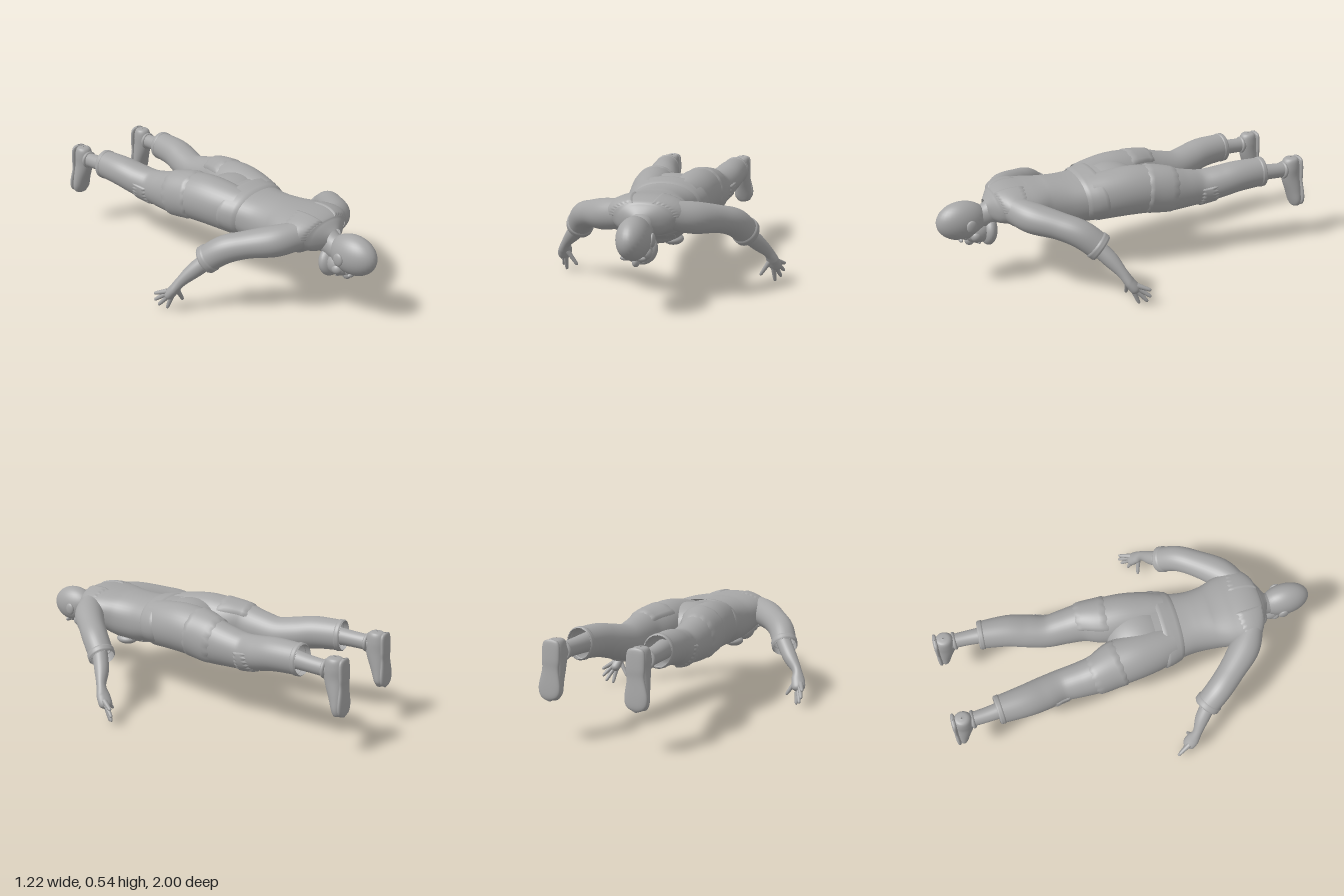
import * as THREE from 'three';

const grey = new THREE.MeshStandardMaterial({ color: 0xa6a6a6, side: THREE.DoubleSide });
grey.name = 'clay grey';

// Smooth skin over sections [x, y, z, radiusAcross, radiusUp]; options select a raised patch of it
function loft(sections, o = {}) {
  const { from = 0, to = sections.length - 1, a0 = 0, a1 = Math.PI * 2, raise = 0, jag = 0,
    square = 1, up = [0, 1, 0], around = 32, steps = 5 } = o;
  const last = sections.length - 1;
  const path = new THREE.CatmullRomCurve3(sections.map(s => new THREE.Vector3(s[0], s[1], s[2])), false, 'catmullrom');
  const size = new THREE.CatmullRomCurve3(sections.map(s => new THREE.Vector3(s[3], s[4], 0)), false, 'catmullrom');
  const upV = new THREE.Vector3(...up);
  const closed = a1 - a0 > 6.28;
  const cols = closed ? around : around + 1;
  const rows = Math.max(6, Math.ceil((to - from) * steps));
  const pos = [], idx = [];
  const bend = c => Math.sign(c) * Math.pow(Math.abs(c), square);
  for (let i = 0; i <= rows; i++) for (let j = 0; j < cols; j++) {
    const tooth = jag * (j % 4 < 2 ? 1 : 0);
    const k = THREE.MathUtils.lerp(from + tooth, to - tooth, i / rows) / last;
    const p = path.getPoint(k), t = path.getTangent(k), r = size.getPoint(k);
    const u = new THREE.Vector3().crossVectors(t, upV).normalize();
    const v = new THREE.Vector3().crossVectors(u, t);
    const rim = i === 0 || i === rows || (!closed && (j === 0 || j === cols - 1));
    const lift = raise ? (rim ? -0.002 : raise) : 0;
    const a = a0 + (a1 - a0) * j / around;
    p.addScaledVector(u, bend(Math.cos(a)) * (Math.max(r.x, 0.001) + lift));
    p.addScaledVector(v, bend(Math.sin(a)) * (Math.max(r.y, 0.001) + lift));
    pos.push(p.x, p.y, p.z);
  }
  for (let i = 0; i < rows; i++) for (let j = 0; j < around; j++) {
    const a = i * cols + j, b = i * cols + (j + 1) % cols;
    idx.push(a, a + cols, b, b, a + cols, b + cols);
  }
  const g = new THREE.BufferGeometry();
  g.setAttribute('position', new THREE.Float32BufferAttribute(pos, 3));
  g.setIndex(idx);
  g.computeVertexNormals();
  return g;
}

function add(parent, name, geometry) {
  const m = new THREE.Mesh(geometry, grey);
  m.name = name;
  parent.add(m);
  return m;
}

function blob(parent, name, [x, y, z], [rx, ry, rz], tilt = 0) {
  const m = add(parent, name, new THREE.SphereGeometry(1, 32, 20));
  m.position.set(x, y, z);
  m.scale.set(rx, ry, rz);
  m.rotation.x = tilt;
  return m;
}

const torso = [
  [0, 0.41, 0.745, 0.05, 0.045], [0, 0.415, 0.70, 0.13, 0.08], [0, 0.425, 0.64, 0.20, 0.098],
  [0, 0.41, 0.55, 0.20, 0.112], [0, 0.387, 0.45, 0.172, 0.13], [0, 0.383, 0.35, 0.163, 0.13],
  [0, 0.392, 0.25, 0.175, 0.122], [0, 0.405, 0.12, 0.20, 0.12],
];
const leg = [
  [0.09, 0.40, 0.2, 0.10, 0.122], [0.103, 0.412, 0.1, 0.115, 0.127], [0.115, 0.418, 0, 0.12, 0.13],
  [0.125, 0.412, -0.1, 0.118, 0.127], [0.148, 0.40, -0.2, 0.10, 0.121], [0.153, 0.39, -0.3, 0.09, 0.105],
  [0.155, 0.385, -0.4, 0.083, 0.093], [0.178, 0.404, -0.5, 0.086, 0.087],
  [0.198, 0.425, -0.6, 0.082, 0.083], [0.211, 0.433, -0.75, 0.07, 0.077],
];
const sleeve = [
  [0.12, 0.43, 0.64, 0.06, 0.07], [0.22, 0.41, 0.57, 0.078, 0.077], [0.315, 0.388, 0.47, 0.07, 0.068],
  [0.385, 0.355, 0.385, 0.068, 0.07], [0.437, 0.285, 0.30, 0.065, 0.067],
];
const shoe = [
  [0.22, 0.49, -0.925, 0.004, 0.004], [0.22, 0.482, -0.925, 0.036, 0.038], [0.22, 0.44, -0.925, 0.045, 0.053],
  [0.22, 0.38, -0.93, 0.045, 0.053], [0.224, 0.30, -0.949, 0.05, 0.042], [0.226, 0.24, -0.96, 0.052, 0.031],
  [0.224, 0.212, -0.965, 0.034, 0.022], [0.224, 0.205, -0.967, 0.003, 0.003],
];
const sole = [
  [0.22, 0.492, -0.968, 0.004, 0.004], [0.22, 0.475, -0.97, 0.042, 0.012], [0.22, 0.40, -0.976, 0.047, 0.013],
  [0.222, 0.35, -0.978, 0.044, 0.012], [0.226, 0.27, -0.983, 0.058, 0.014], [0.226, 0.225, -0.985, 0.046, 0.013],
  [0.225, 0.203, -0.985, 0.004, 0.004],
];

// Limbs, patches and face details of the left side
function buildSide(side) {
  add(side, 'trouserLeg', loft(leg, { around: 40 }));
  add(side, 'thighPatch', loft(leg, { from: 2.7, to: 4.4, a0: -1, a1: 2.5, raise: 0.007, jag: 0.06 }));
  add(side, 'kneePatch', loft(leg, { from: 5.7, to: 6.8, a0: -1.7, a1: 0.2, raise: 0.007, jag: 0.12 }));
  add(side, 'trouserHem', loft(leg, { from: 8.8, to: 9, raise: 0.004 }));
  add(side, 'ankle', loft([[0.205, 0.43, -0.68, 0.045, 0.048], [0.216, 0.424, -0.80, 0.039, 0.041],
    [0.22, 0.42, -0.92, 0.036, 0.04]]));
  const collar = add(side, 'shoeCollar', new THREE.TorusGeometry(0.038, 0.01, 10, 28));
  collar.position.set(0.22, 0.422, -0.877);
  add(side, 'shoe', loft(shoe, { up: [0, 0, 1] }));
  add(side, 'sole', loft(sole, { up: [0, 0, 1], square: 0.8 }));

  add(side, 'sleeve', loft(sleeve, { steps: 8 }));
  add(side, 'sleeveCuff', loft(sleeve, { from: 3.65, to: 4, raise: 0.005 }));
  add(side, 'forearm', loft([[0.40, 0.325, 0.35, 0.04, 0.042], [0.475, 0.24, 0.275, 0.038, 0.04],
    [0.532, 0.178, 0.232, 0.025, 0.027], [0.55, 0.135, 0.205, 0.035, 0.026],
    [0.563, 0.095, 0.178, 0.034, 0.026], [0.568, 0.078, 0.168, 0.01, 0.01]], { steps: 8 }));
  // Spread fingers, thumb first: base and tip
  const fingers = [
    [[0.54, 0.13, 0.212], [0.487, 0.045, 0.195]], [[0.553, 0.095, 0.19], [0.56, 0.008, 0.155]],
    [[0.563, 0.095, 0.18], [0.588, 0.025, 0.122]], [[0.572, 0.105, 0.173], [0.602, 0.055, 0.11]],
    [[0.574, 0.12, 0.178], [0.606, 0.095, 0.113]],
  ];
  fingers.forEach(([b, t], i) => {
    const at = (k, r) => [...b.map((c, n) => c + (t[n] - c) * k), r, r];
    add(side, i ? 'finger' : 'thumb', loft([at(0, 0.014), at(0.5, 0.011), at(0.9, 0.008), at(1, 0.001)], { around: 12 }));
  });

  add(side, 'shoulderPatch', loft(torso, { from: 1.1, to: 2.75, a0: 0.1, a1: 1.28, raise: 0.008, jag: 0.08 }));
  add(side, 'chestStrap', loft(torso, { from: 2, to: 5.8, a0: 5.15, a1: 5.4, raise: 0.006, around: 12 }));
  blob(side, 'chestPouch', [0.085, 0.268, 0.42], [0.05, 0.028, 0.06]);

  blob(side, 'ear', [0.08, 0.355, 0.84], [0.012, 0.033, 0.027]);
  blob(side, 'eye', [0.033, 0.285, 0.865], [0.014, 0.014, 0.014]);
  blob(side, 'brow', [0.034, 0.278, 0.89], [0.026, 0.012, 0.011]);
  blob(side, 'cheek', [0.04, 0.285, 0.81], [0.03, 0.03, 0.03]);
}

export function createModel() {
  const model = new THREE.Group();
  model.name = 'lyingFigure';

  // Body and waist
  add(model, 'shirt', loft(torso, { around: 48, square: 0.88, steps: 8 }));
  add(model, 'bib', loft(torso, { from: 3.2, to: 5.9, a0: 4.15, a1: 5.27, raise: 0.007, jag: 0.05 }));
  blob(model, 'hips', [0, 0.412, 0.06], [0.19, 0.122, 0.17]);
  add(model, 'waistband', loft([[0, 0.395, 0.255, 0.18, 0.124], [0, 0.40, 0.20, 0.20, 0.129],
    [0, 0.407, 0.15, 0.212, 0.13]], { raise: 0.004, square: 0.92, around: 48 }));
  const buckle = add(model, 'buckle', new THREE.BoxGeometry(0.07, 0.012, 0.06));
  buckle.position.set(0, 0.265, 0.2);

  // Head, face down
  add(model, 'neck', loft([[0, 0.36, 0.82, 0.055, 0.06], [0, 0.37, 0.75, 0.055, 0.062], [0, 0.41, 0.66, 0.07, 0.07]]));
  blob(model, 'head', [0, 0.365, 0.868], [0.079, 0.1, 0.131]);
  blob(model, 'jaw', [0, 0.295, 0.79], [0.065, 0.062, 0.075]);
  blob(model, 'beard', [0, 0.29, 0.735], [0.08, 0.078, 0.042], -0.15);
  blob(model, 'nose', [0, 0.25, 0.835], [0.018, 0.026, 0.026]);
  blob(model, 'mouth', [0, 0.236, 0.79], [0.03, 0.01, 0.012]);

  // Mirrored halves
  for (const s of [1, -1]) {
    const side = new THREE.Group();
    side.name = s > 0 ? 'leftSide' : 'rightSide';
    buildSide(side);
    side.scale.x = s;
    model.add(side);
  }
  return model;
}
